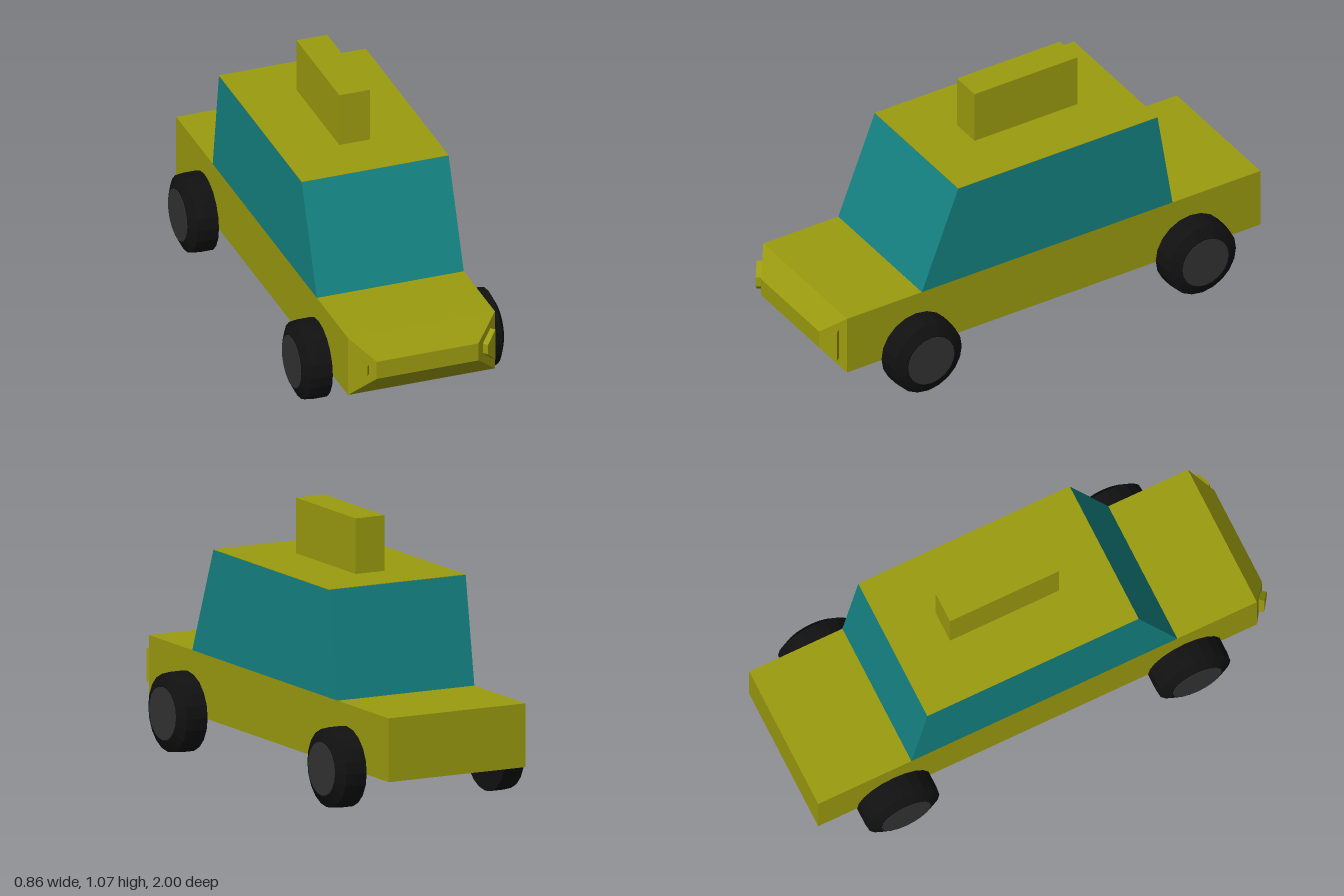
import * as THREE from 'three';

const paint = (color) => new THREE.MeshStandardMaterial({ color, flatShading: true });

export function createModel() {
  const car = new THREE.Group();
  car.name = 'car';
  const yellow = paint(0x9c9c10);
  const teal = paint(0x158383);
  const rubber = paint(0x111111);
  const hubGrey = paint(0x333333);
  const discGrey = paint(0x808080);

  const add = (name, geometry, material, parent = car) => {
    const mesh = new THREE.Mesh(geometry, material);
    mesh.name = name;
    parent.add(mesh);
    return mesh;
  };
  // Box from its limits on each axis
  const block = (x, y0, y1, z0, z1) =>
    new THREE.BoxGeometry(2 * x, y1 - y0, z1 - z0).translate(0, (y0 + y1) / 2, (z0 + z1) / 2);
  const polygon = (points) => new THREE.Shape(points.map(([x, y]) => new THREE.Vector2(x, y)));

  // Lower body
  add('body', block(0.31, 0.153, 0.41, -1, 0.93), yellow);

  // Bevelled nose: the front corners are drawn in
  const noseGeometry = block(0.31, 0.153, 0.41, 0.93, 1);
  const p = noseGeometry.attributes.position;
  for (let i = 0; i < p.count; i++) {
    if (p.getZ(i) > 0.96) {
      p.setX(i, Math.sign(p.getX(i)) * 0.215);
      p.setY(i, p.getY(i) > 0.28 ? 0.32 : 0.243);
    }
  }
  add('nose', noseGeometry, yellow);

  // Cabin with sloping windows: side outline in (z, y), extruded across the car
  const cabinShape = polygon([[0.58, 0.41], [0.41, 0.844], [-0.52, 0.844], [-0.59, 0.41]]);
  const cabin = add('cabinWindows',
    new THREE.ExtrudeGeometry(cabinShape, { depth: 0.62, bevelEnabled: false }), teal);
  cabin.rotation.y = -Math.PI / 2;
  cabin.position.x = 0.31;
  add('roof', block(0.31, 0.843, 0.846, -0.52, 0.41), yellow);
  add('roofSign', block(0.065, 0.845, 1.07, -0.3, 0.18), yellow);

  // Headlights: tapered plates standing on the nose's side bevels
  for (const side of [1, -1]) {
    const plate = polygon([[0.033, 0.215], [0.087, 0.263], [0.087, 0.305], [0.033, 0.35]]
      .map(([s, y]) => [-side * s, y]));
    const light = add(side > 0 ? 'leftHeadlight' : 'rightHeadlight',
      new THREE.ExtrudeGeometry(plate, { depth: 0.024, bevelEnabled: false }), yellow);
    light.position.set(side * 0.31, 0, 0.93);
    light.rotation.y = side * Math.atan2(0.07, 0.095);
  }

  // Wheels: tyre turned around its axle, with a hub on the outer face
  const tyreProfile = [[0, 0], [0.161, 0], [0.161, 0.055], [0.157, 0.09], [0.112, 0.113], [0, 0.113]]
    .map(([r, h]) => new THREE.Vector2(r, h));
  const tyreGeometry = new THREE.LatheGeometry(tyreProfile, 20);
  const hubGeometry = new THREE.CylinderGeometry(0.107, 0.107, 0.004, 20);
  for (const side of [1, -1]) {
    for (const [end, z] of [['front', 0.61], ['rear', -0.67]]) {
      const wheel = new THREE.Group();
      wheel.name = end + (side > 0 ? 'Left' : 'Right') + 'Wheel';
      wheel.position.set(side * 0.314, 0.161, z);
      wheel.rotation.z = -side * Math.PI / 2;
      add('tyre', tyreGeometry, rubber, wheel);
      add('hub', hubGeometry, hubGrey, wheel).position.y = 0.113;
      // Pale disc on the inner face of one front wheel
      if (side > 0 && end === 'front') {
        add('innerDisc', new THREE.CylinderGeometry(0.15, 0.15, 0.004, 20), discGrey, wheel);
      }
      car.add(wheel);
    }
  }
  return car;
}
